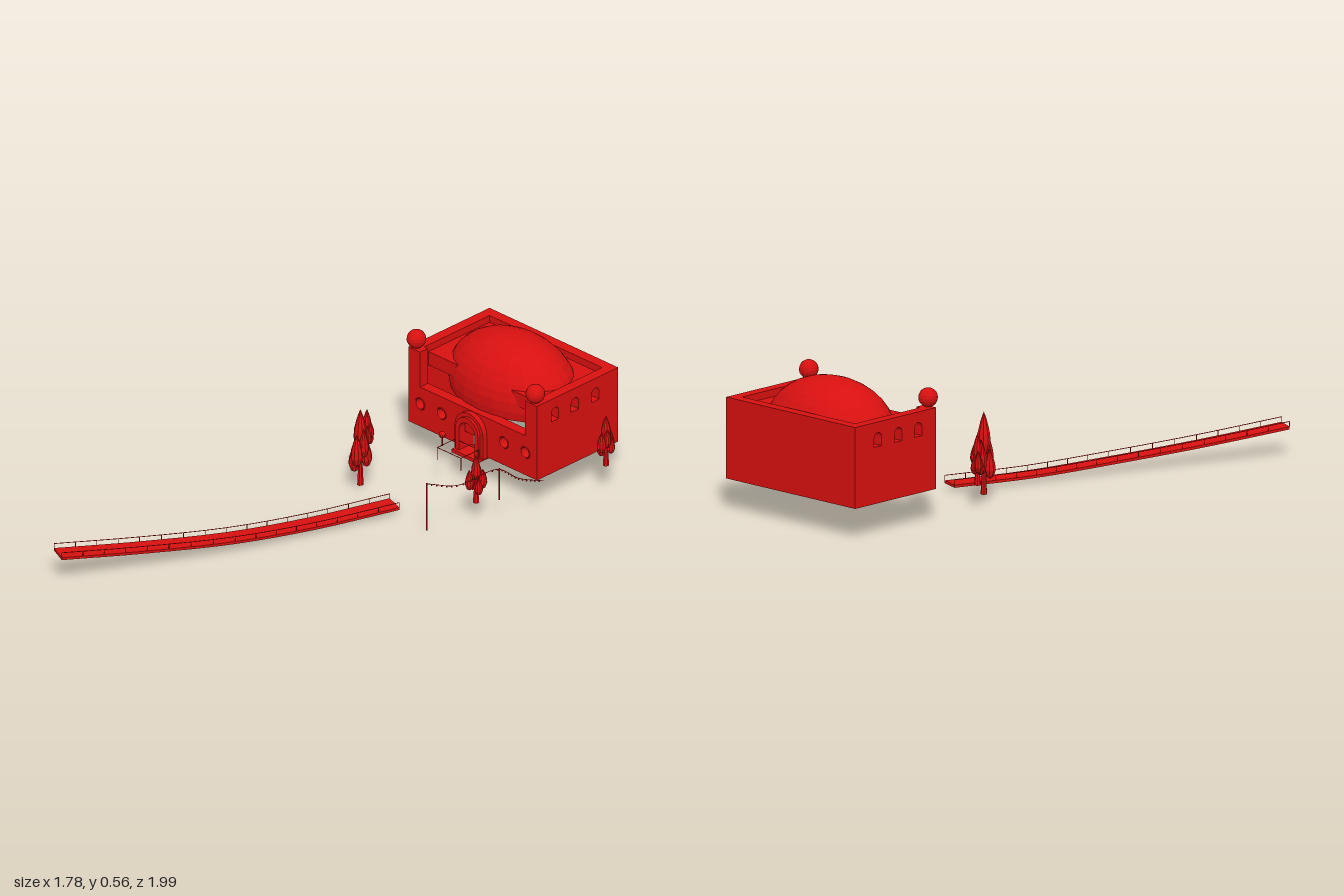
import * as THREE from 'three';

const V = (x, y, z) => new THREE.Vector3(x, y, z);
const material = new THREE.MeshStandardMaterial({ color: 0xd81010, flatShading: true, side: THREE.DoubleSide });

function add(parent, name, geometry, x = 0, y = 0, z = 0) {
  const mesh = new THREE.Mesh(geometry, material);
  mesh.name = name;
  mesh.position.set(x, y, z);
  parent.add(mesh);
  return mesh;
}

function polygon(points) {
  return new THREE.Shape(points.map(([x, y]) => new THREE.Vector2(x, y)));
}

// Round-headed opening standing on y0
function archPath(x, y0, halfWidth, straight, Type = THREE.Path) {
  const p = new Type();
  p.moveTo(x - halfWidth, y0);
  p.lineTo(x + halfWidth, y0);
  p.lineTo(x + halfWidth, y0 + straight);
  p.absarc(x, y0 + straight, halfWidth, 0, Math.PI, false);
  p.closePath();
  return p;
}

function slab(shape, depth) {
  return new THREE.ExtrudeGeometry(shape, { depth, bevelEnabled: false, curveSegments: 8 });
}

// Thin round bar between two points
function bar(parent, name, a, b, r) {
  add(parent, name, new THREE.TubeGeometry(new THREE.LineCurve3(a, b), 1, r, 5));
}

function buildHall() {
  const hall = new THREE.Group();
  hall.name = 'hall';
  const W = 0.355, D = 0.228, Y0 = 0.13, Y1 = 0.46, T = 0.045;

  // Front wall: tall corner piers, low middle, doorway and round windows
  const front = polygon([[-W, Y0], [-0.05, Y0], [-0.05, 0.2], [0.05, 0.2], [0.05, Y0], [W, Y0],
    [W, Y1], [0.29, Y1], [0.29, 0.305], [-0.29, 0.305], [-0.29, Y1], [-W, Y1]]);
  for (const x of [-0.29, -0.172, 0.172, 0.29]) {
    const hole = new THREE.Path();
    hole.absarc(x, 0.23, 0.023, 0, Math.PI * 2, true);
    front.holes.push(hole);
    add(hall, 'roundWindowFrame', new THREE.TorusGeometry(0.024, 0.003, 5, 16), x, 0.23, D);
  }
  add(hall, 'frontWall', slab(front, T), 0, 0, D - T);
  add(hall, 'backWall', new THREE.BoxGeometry(2 * W, Y1 - Y0, T), 0, (Y0 + Y1) / 2, -D + T / 2);

  // Side walls with three arched windows each
  for (const s of [1, -1]) {
    const h = D - T;
    const side = polygon([[-h, Y0], [h, Y0], [h, Y1], [-h, Y1]]);
    for (const z of [0.127, 0.015, -0.1]) side.holes.push(archPath(-s * z, 0.36, 0.021, 0.036));
    add(hall, 'sideWall', slab(side, T), s * (W - T), 0, 0).rotation.y = s * Math.PI / 2;
  }

  // Roof slab stopping short of the front wall, opened beneath the dome
  const roof = polygon([[-W + T, -0.16], [W - T, -0.16], [W - T, D - T], [-W + T, D - T]]);
  const eye = new THREE.Path();
  eye.absellipse(0, 0, 0.26, 0.15, 0, Math.PI * 2, true);
  roof.holes.push(eye);
  add(hall, 'roof', slab(roof, 0.06), 0, 0.37, 0).rotation.x = -Math.PI / 2;

  // Oval dome continuing a little below its widest ring
  const dome = new THREE.SphereGeometry(1, 24, 10, 0, Math.PI * 2, 0, Math.PI * 0.58);
  dome.scale(0.3, 0.213, 0.205);
  add(hall, 'dome', dome, 0, 0.352, 0);

  // Corner finials
  for (const s of [-1, 1]) add(hall, 'cornerBall', new THREE.SphereGeometry(0.039, 14, 10), s * 0.328, 0.5, 0.21);

  // Arched portal with raised bands and doorstep
  for (const [r, straight, z0, z1] of [[0.078, 0.1, 0.18, 0.25], [0.062, 0.1, 0.18, 0.262]]) {
    const arch = archPath(0, 0.125, r, straight, THREE.Shape);
    arch.holes.push(archPath(0, 0.126, 0.043, 0.095));
    add(hall, 'portalArch', slab(arch, z1 - z0), 0, 0, z0);
  }
  add(hall, 'doorstep', new THREE.BoxGeometry(0.14, 0.015, 0.08), 0, 0.122, 0.235);

  // Slim railing around the forecourt
  const corners = [[-0.065, 0.26], [-0.065, 0.36], [0.065, 0.36], [0.065, 0.26]];
  corners.forEach(([x, z], i) => {
    const [nx, nz] = corners[(i + 1) % 4];
    bar(hall, 'courtRail', V(x, 0.17, z), V(nx, 0.17, nz), 0.0016);
    bar(hall, 'courtPost', V(x, 0.115, z), V(x, 0.17, z), 0.0016);
  });

  // Small lamp beside the entrance
  bar(hall, 'lampPost', V(-0.113, 0.13, 0.284), V(-0.113, 0.175, 0.284), 0.003);
  add(hall, 'lampBall', new THREE.SphereGeometry(0.014, 10, 8), -0.113, 0.18, 0.284);

  hall.position.set(0.41, 0, -0.65);
  hall.rotation.y = -0.382;
  return hall;
}

// Tree with a flared trunk and teardrop leaf masses; angle sets the long axis of the crown
function buildTree(x, y, z, height, spread, angle) {
  const tree = new THREE.Group();
  tree.name = 'tree';
  const profile = [[0, -0.5], [0.6, -0.42], [1, -0.2], [0.88, 0.03], [0.5, 0.28], [0.18, 0.43], [0, 0.5]]
    .map(([r, h]) => new THREE.Vector2(r, h));
  add(tree, 'trunk', new THREE.CylinderGeometry(0.006, 0.013, height * 0.45, 7), 0, height * 0.225, 0);
  // offset along axis, offset across, centre height, leaf height, radius
  const leaves = [[0, 0, 0.73, 0.54, 0.5], [0.65, 0.15, 0.5, 0.42, 0.45], [-0.65, -0.1, 0.47, 0.44, 0.45],
    [0.2, 0.4, 0.36, 0.36, 0.42], [-0.25, -0.4, 0.4, 0.36, 0.4], [0.35, -0.3, 0.58, 0.38, 0.38]];
  for (const [a, b, cy, h, r] of leaves) {
    const leaf = new THREE.LatheGeometry(profile, 9);
    leaf.scale(r * spread, h * height, r * spread);
    const c = Math.cos(angle), s = Math.sin(angle);
    add(tree, 'leafMass', leaf, spread * (a * c - b * s), cy * height, spread * (a * s + b * c));
  }
  tree.position.set(x, y, z);
  return tree;
}

function buildBridge() {
  const bridge = new THREE.Group();
  bridge.name = 'walkway';
  const path = new THREE.CatmullRomCurve3([V(0.137, 0.03, -0.09), V(-0.1, 0.03, 0.185), V(-0.335, 0.048, 0.45),
    V(-0.6, 0.08, 0.71), V(-0.86, 0.12, 0.96)]);
  const N = 16, half = 0.043, thick = 0.011;
  const across = (t, s) => {
    const d = path.getTangent(t);
    return path.getPoint(t).add(V(-d.z, 0, d.x).normalize().multiplyScalar(s * half));
  };

  // Curved deck from rectangular cross-sections
  const pos = [], index = [];
  for (let i = 0; i <= N; i++) {
    for (const [s, dy] of [[-1, 0], [1, 0], [1, -thick], [-1, -thick]]) {
      const p = across(i / N, s);
      pos.push(p.x, p.y + dy, p.z);
    }
    if (i === N) continue;
    for (let k = 0; k < 4; k++) {
      const a = i * 4 + k, b = i * 4 + (k + 1) % 4;
      index.push(a, b, b + 4, a, b + 4, a + 4);
    }
  }
  const e = N * 4;
  index.push(0, 2, 1, 0, 3, 2, e, e + 1, e + 2, e, e + 2, e + 3);
  const deck = new THREE.BufferGeometry();
  deck.setAttribute('position', new THREE.Float32BufferAttribute(pos, 3));
  deck.setIndex(index);
  deck.computeVertexNormals();
  add(bridge, 'deck', deck);

  // Handrails and posts along both edges
  const up = V(0, 0.021, 0);
  for (const s of [-0.96, 0.96]) {
    const points = Array.from({ length: N + 1 }, (_, i) => across(i / N, s));
    const rail = new THREE.CatmullRomCurve3(points.map((p) => p.clone().add(up)));
    add(bridge, 'handrail', new THREE.TubeGeometry(rail, 32, 0.0016, 5));
    for (const p of points) bar(bridge, 'railPost', p, p.clone().add(up), 0.0014);
  }
  return bridge;
}

// Hanging string of little bulbs on slender poles
function buildLights() {
  const lights = new THREE.Group();
  lights.name = 'stringLights';
  const cord = new THREE.CatmullRomCurve3([V(0.32, 0.207, 0.02), V(0.43, 0.2, -0.025), V(0.55, 0.23, -0.16),
    V(0.62, 0.185, -0.2), V(0.7, 0.16, -0.26)]);
  add(lights, 'cord', new THREE.TubeGeometry(cord, 32, 0.0016, 5));
  for (let i = 1; i < 24; i++) {
    const p = cord.getPoint(i / 24);
    add(lights, 'bulb', new THREE.SphereGeometry(0.0035, 6, 5), p.x, p.y - 0.004, p.z);
  }
  bar(lights, 'pole', V(0.32, 0, 0.02), V(0.32, 0.21, 0.02), 0.003);
  bar(lights, 'pole', V(0.555, 0.095, -0.16), V(0.555, 0.235, -0.16), 0.003);
  return lights;
}

export function createModel() {
  const model = new THREE.Group();
  model.name = 'domedHallWithWalkway';
  model.add(buildHall(), buildBridge(), buildLights());
  model.add(buildTree(-0.05, 0.025, -0.19, 0.335, 0.056, 1.35));
  model.add(buildTree(-0.07, 0.09, -0.305, 0.21, 0.038, 0.9));
  model.add(buildTree(0.47, 0.085, -0.125, 0.21, 0.04, -0.6));
  model.add(buildTree(0.855, 0.13, -0.53, 0.22, 0.042, 1.6));
  return model;
}
